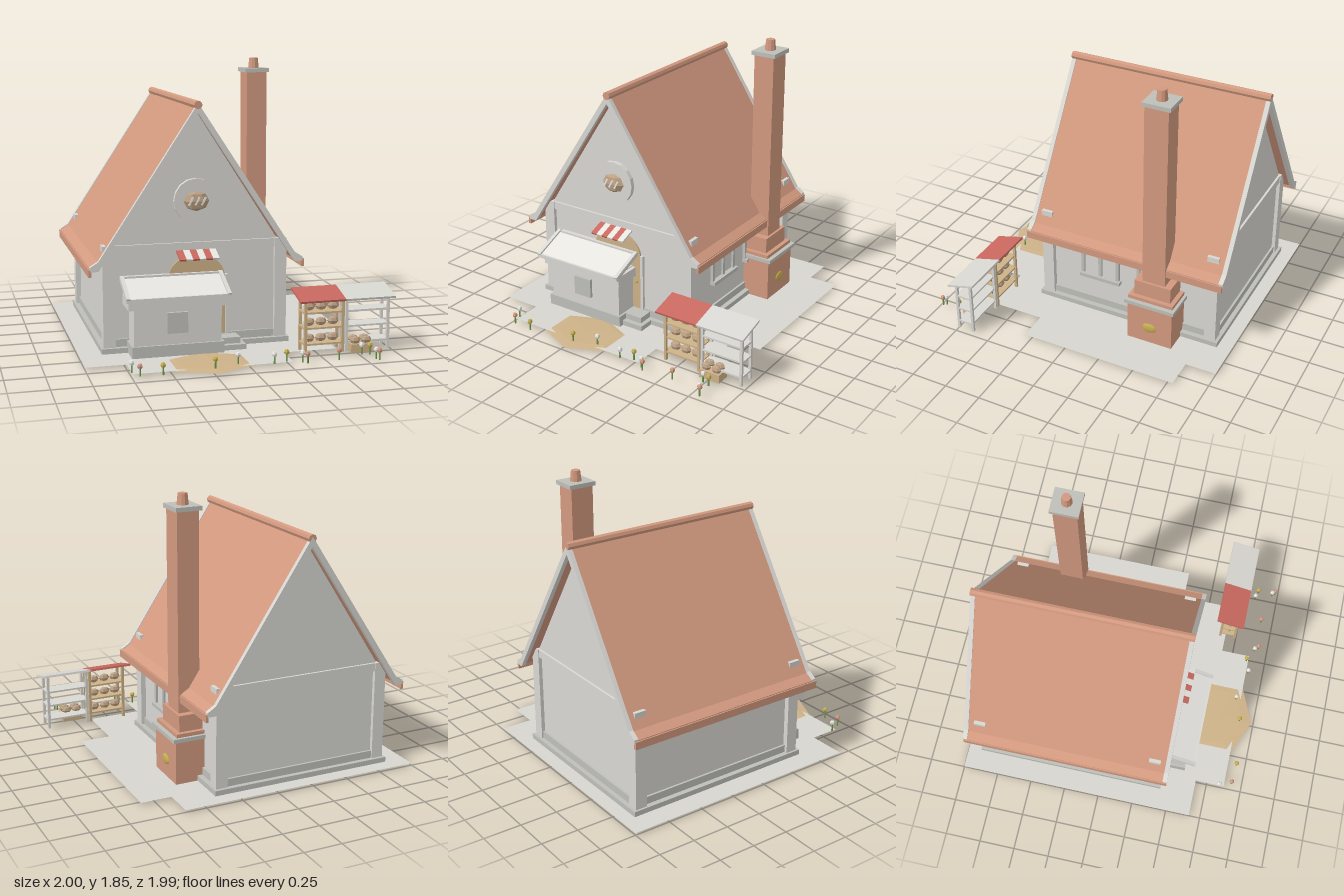
import * as THREE from 'three';

const mat = (name, color, opts = {}) => {
  const m = new THREE.MeshStandardMaterial({ color, flatShading: true, ...opts });
  m.name = name;
  return m;
};

export function createModel() {
  const M = {
    plaster: mat('plaster', 0xd8d7d2),
    ground: mat('paving', 0xd6d5d0, { side: THREE.DoubleSide }),
    trim: mat('stoneTrim', 0xbfbfba),
    tile: mat('terracotta', 0xd2997f),
    red: mat('redCloth', 0xc8685f),
    tan: mat('wood', 0xcdb288),
    bread: mat('bread', 0xbda184),
    white: mat('white', 0xeae8e3),
    green: mat('stemGreen', 0x6c9648),
    gold: mat('gold', 0xc6b04e),
  };
  const root = new THREE.Group();
  root.name = 'bakery';
  const CX = -0.23; // house centre line

  const add = (name, geo, m, x = 0, y = 0, z = 0, parent = root) => {
    const mesh = new THREE.Mesh(geo, m);
    mesh.name = name;
    mesh.position.set(x, y, z);
    parent.add(mesh);
    return mesh;
  };
  // Box from its two extreme corners
  const box = (name, m, x0, x1, y0, y1, z0, z1) =>
    add(name, new THREE.BoxGeometry(x1 - x0, y1 - y0, z1 - z0), m, (x0 + x1) / 2, (y0 + y1) / 2, (z0 + z1) / 2);
  // Tilted board running from (yBack, zBack) to (yFront, zFront)
  const board = (name, m, x0, x1, ya, za, yb, zb, t) => {
    const b = add(name, new THREE.BoxGeometry(x1 - x0, t, Math.hypot(yb - ya, zb - za)), m,
      (x0 + x1) / 2, (ya + yb) / 2, (za + zb) / 2);
    b.rotation.x = Math.atan2(ya - yb, zb - za);
    return b;
  };
  const extrude = (name, m, pts, z0, z1, x = 0) => {
    const s = new THREE.Shape(pts.map(p => new THREE.Vector2(...p)));
    return add(name, new THREE.ExtrudeGeometry(s, { depth: z1 - z0, bevelEnabled: false }), m, x, 0, z0);
  };
  const loaf = (name, x, y, z, rx, ry, rz, m = M.bread) => {
    const l = add(name, new THREE.SphereGeometry(1, 6, 4), m, x, y, z);
    l.scale.set(rx, ry, rz);
    return l;
  };

  // Paving and foundation
  const paving = new THREE.Shape([[-1, 1], [0.64, 1], [0.64, 0.79], [0.845, 0.79], [0.845, -0.3], [0.64, -0.3],
    [0.64, -0.67], [0.28, -0.67], [0.28, -0.875], [-0.74, -0.875], [-0.74, -0.67], [-1, -0.67]]
    .map(p => new THREE.Vector2(...p)));
  add('paving', new THREE.ShapeGeometry(paving).rotateX(-Math.PI / 2), M.ground, 0, 0.014, 0);
  box('foundation', M.trim, -0.855, 0.395, 0.016, 0.05, -0.906, 0.43);
  box('doorstep', M.trim, -0.49, 0.04, 0.05, 0.09, 0.38, 0.505);
  box('lowerStep', M.trim, -0.53, 0.07, 0.016, 0.05, 0.42, 0.54);
  const mound = loaf('doorMat', CX, 0.01, 0.74, 0.245, 0.01, 0.323, M.tan);
  mound.scale.set(0.245, 0.01, 0.323);
  mound.rotation.y = Math.PI / 2;

  // Walls, plinth, corner posts and beams
  box('walls', M.plaster, -0.805, 0.345, 0.05, 0.66, -0.86, 0.385);
  box('plinth', M.trim, -0.82, 0.36, 0.05, 0.1, -0.875, 0.398);
  for (const x of [-0.84, 0.3])
    for (const z of [-0.885, 0.33]) box('cornerPost', M.plaster, x, x + 0.08, 0.05, 0.71, z, z + 0.08);
  for (const z of [-0.88, 0.38]) box('gableBeam', M.plaster, -0.8, 0.34, 0.655, 0.71, z, z + 0.022);
  for (const x of [-0.83, 0.34]) box('eaveBeam', M.plaster, x, x + 0.03, 0.52, 0.58, -0.86, 0.385);
  extrude('gables', M.plaster, [[-0.58, 0.66], [0.58, 0.66], [0, 1.56]], -0.865, 0.387, CX);

  // Roof with flared eaves, barge boards, ridge and fascia
  const roofProfile = (up, down) => {
    const right = [[0, 1.6], [0.645, 0.62], [0.7, 0.585]];
    const outer = right.map(([x, y]) => [x, y + up]);
    const inner = right.map(([x, y], i) => [x, y - (i === 2 ? 0.02 : down)]);
    const mirror = a => a.slice(1).map(([x, y]) => [-x, y]);
    return [...mirror(outer).reverse(), ...outer, ...inner.slice().reverse(), ...mirror(inner)];
  };
  extrude('roof', M.tile, roofProfile(0, 0.04), -0.925, 0.447, CX);
  for (const z of [-0.953, 0.445]) extrude('bargeBoard', M.plaster, roofProfile(0.008, 0.055), z, z + 0.03, CX);
  add('ridge', new THREE.CylinderGeometry(0.027, 0.027, 1.43, 8).rotateX(Math.PI / 2), M.tile, CX, 1.597, -0.238);
  for (const s of [-1, 1]) box('fascia', M.tile, CX + s * 0.7 - 0.009, CX + s * 0.7 + 0.009, 0.53, 0.58, -0.948, 0.475);

  // Round gable sign with a scored loaf
  add('gableSign', new THREE.CylinderGeometry(0.146, 0.146, 0.035, 16).rotateX(Math.PI / 2), M.plaster, CX, 0.98, 0.4);
  loaf('signLoaf', CX, 0.98, 0.42, 0.085, 0.065, 0.035);
  for (const i of [-1, 0, 1]) {
    const cut = box('loafScore', M.white, CX + i * 0.042 - 0.006, CX + i * 0.042 + 0.006, 0.953, 1.012, 0.444, 0.452);
    cut.rotation.z = -0.5;
  }

  // Arched door, knob and striped awning
  const door = new THREE.Shape();
  door.moveTo(-0.19, 0.05);
  door.lineTo(0.19, 0.05);
  door.lineTo(0.19, 0.47);
  door.absellipse(0, 0.47, 0.19, 0.16, 0, Math.PI, false);
  door.closePath();
  add('door', new THREE.ExtrudeGeometry(door, { depth: 0.015, bevelEnabled: false, curveSegments: 10 }), M.tan, CX + 0.005, 0, 0.383);
  box('doorJamb', M.plaster, -0.033, -0.012, 0.05, 0.49, 0.38, 0.405);
  add('doorKnob', new THREE.SphereGeometry(0.011, 6, 5), M.gold, -0.06, 0.295, 0.408);
  for (let i = 0; i < 6; i++) {
    const x = -0.36 + i * 0.0435;
    board('awningStripe', i % 2 ? M.white : M.red, x, x + 0.0435, 0.66, 0.39, 0.615, 0.505, 0.012);
  }

  // Serving stall on the front wall
  box('stallBody', M.plaster, -0.67, -0.1, 0.016, 0.4, 0.38, 0.56);
  box('stallPlinth', M.trim, -0.685, -0.085, 0.016, 0.09, 0.38, 0.575);
  box('stallLintel', M.plaster, -0.71, -0.075, 0.33, 0.395, 0.38, 0.59);
  box('stallHatch', M.trim, -0.46, -0.325, 0.165, 0.3, 0.555, 0.58);
  board('stallRoof', M.white, -0.71, -0.075, 0.5, 0.4, 0.403, 0.63, 0.014);
  for (const x of [-0.73, -0.08]) board('stallRoofTrim', M.plaster, x, x + 0.025, 0.503, 0.4, 0.405, 0.635, 0.03);
  box('stallRoofTop', M.plaster, -0.7, -0.06, 0.485, 0.512, 0.39, 0.42);
  box('stallRoofEdge', M.plaster, -0.73, -0.055, 0.39, 0.414, 0.61, 0.637);

  // Side windows
  for (const z of [-0.022, -0.44]) {
    box('windowPane', M.plaster, 0.342, 0.35, 0.29, 0.51, z - 0.12, z + 0.12);
    for (const dz of [-0.13, 0, 0.13]) box('windowFrame', M.trim, 0.34, 0.365, 0.29, 0.52, z + dz - 0.012, z + dz + 0.012);
    box('windowHead', M.trim, 0.34, 0.365, 0.5, 0.52, z - 0.14, z + 0.14);
    box('windowSill', M.trim, 0.34, 0.385, 0.265, 0.29, z - 0.155, z + 0.145);
  }

  // Chimney and oven
  box('ovenBase', M.tile, 0.32, 0.543, 0.01, 0.302, -0.64, -0.32);
  box('ovenLedge', M.trim, 0.32, 0.565, 0.302, 0.328, -0.66, -0.305);
  box('chimneyStep', M.tile, 0.32, 0.535, 0.328, 0.352, -0.64, -0.32);
  box('chimneyShoulder', M.tile, 0.32, 0.505, 0.352, 0.46, -0.61, -0.35);
  box('chimneyShaft', M.tile, 0.343, 0.488, 0.46, 1.75, -0.562, -0.4);
  box('chimneyCap', M.trim, 0.327, 0.503, 1.75, 1.778, -0.58, -0.387);
  add('chimneyPot', new THREE.CylinderGeometry(0.03, 0.038, 0.072, 10), M.tile, 0.415, 1.814, -0.483);
  const hatch = add('ovenDoor', new THREE.SphereGeometry(1, 12, 8), M.gold, 0.543, 0.132, -0.48);
  hatch.scale.set(0.012, 0.034, 0.05);

  // Market rack: wooden bread half and grey half under one sloping cover
  board('redCover', M.red, 0.355, 0.66, 0.413, 0.59, 0.362, 0.785, 0.014);
  board('greyCover', M.plaster, 0.66, 1.0, 0.413, 0.59, 0.362, 0.785, 0.014);
  const racks = [['wood', M.tan, 0.395, 0.665], ['grey', M.plaster, 0.672, 0.975]];
  for (const [kind, m, x0, x1] of racks) {
    for (const x of [x0, x1 - 0.018]) {
      box(kind + 'RackFrontLeg', m, x, x + 0.018, 0.014, 0.365, 0.73, 0.748);
      box(kind + 'RackBackLeg', m, x, x + 0.018, 0.014, 0.395, 0.622, 0.64);
    }
    for (const y of [0.075, 0.18, 0.28]) box(kind + 'RackShelf', m, x0, x1, y - 0.007, y + 0.005, 0.63, 0.745);
  }
  for (const y of [0.104, 0.21, 0.312])
    for (const x of [0.445, 0.525, 0.607]) loaf('rackLoaf', x, y, 0.687, 0.039, 0.028, 0.028);
  box('crate', M.tan, 0.695, 0.84, 0.014, 0.07, 0.7, 0.795);
  for (const x of [0.73, 0.805])
    for (const z of [0.725, 0.77]) loaf('crateLoaf', x, 0.092, z, 0.036, 0.026, 0.024);

  // Flowers around the forecourt
  const flowers = {
    white: [[-0.74, 0.84], [-0.07, 0.84], [0.15, 0.89], [0.33, 0.905], [0.75, 0.835], [0.8, 0.955]],
    tile: [[-0.705, 0.925], [0.355, 0.93], [0.57, 0.91], [0.815, 0.975]],
    gold: [[-0.565, 0.935], [-0.23, 0.895], [0.24, 0.86], [0.8, 0.85]],
  };
  for (const [key, spots] of Object.entries(flowers))
    for (const [x, z] of spots) {
      add('flowerStem', new THREE.CylinderGeometry(0.005, 0.006, 0.055, 5), M.green, x, 0.042, z);
      add('flowerHead', new THREE.SphereGeometry(0.018, 5, 4), M[key], x, 0.077, z);
    }
  return root;
}
